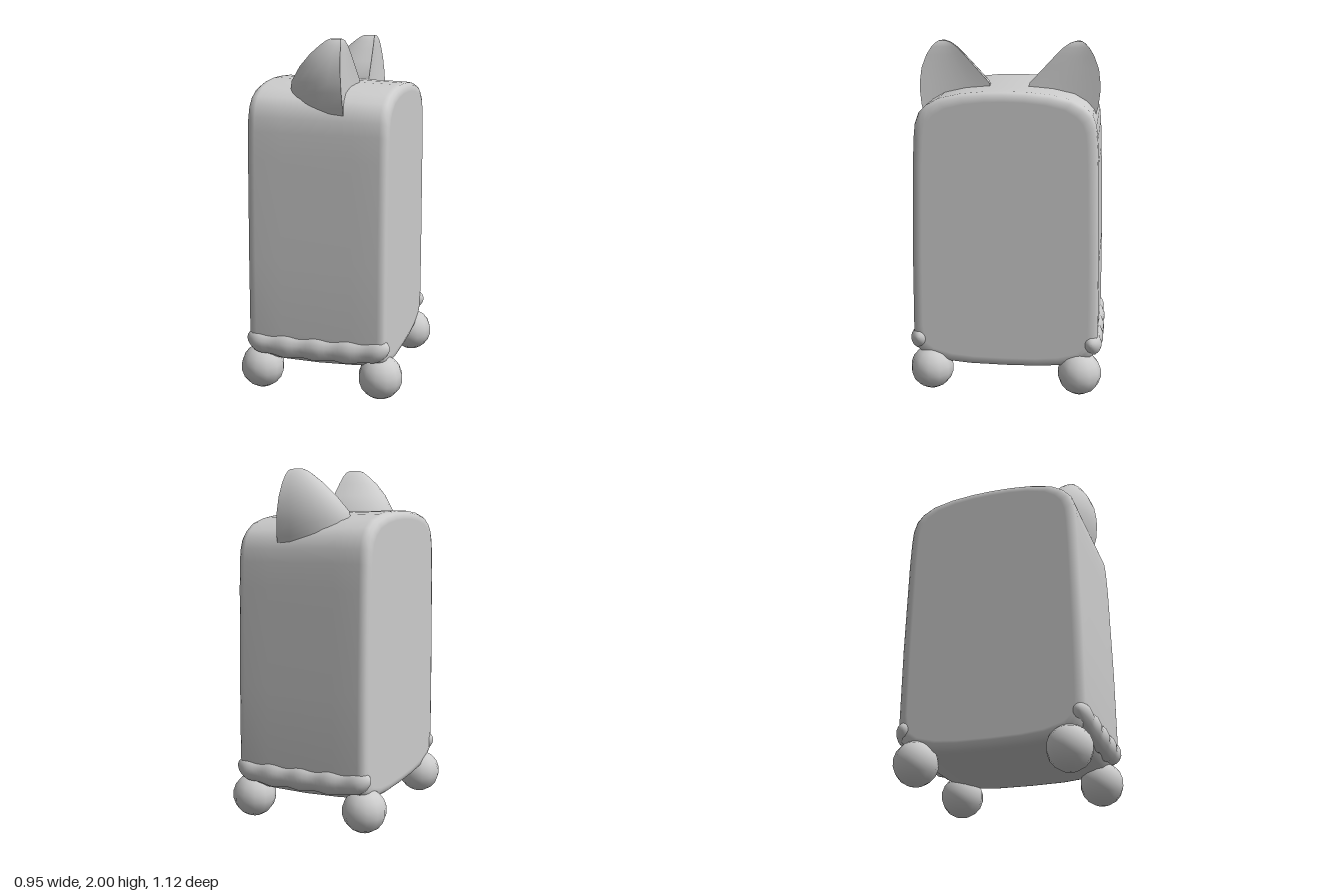
import * as THREE from 'three';
import { toCreasedNormals } from 'three/addons/utils/BufferGeometryUtils.js';

// Skins a list of closed rings of [x, y, z] points and closes both ends
function loft(rings) {
  const n = rings[0].length, m = rings.length;
  const pos = rings.flat(2), index = [];
  for (let i = 0; i < m - 1; i++) {
    for (let j = 0; j < n; j++) {
      const k = (j + 1) % n, a = i * n, b = a + n;
      index.push(a + j, b + j, a + k, b + j, b + k, a + k);
    }
  }
  [0, m - 1].forEach((r) => {
    const c = pos.length / 3;
    for (let d = 0; d < 3; d++) pos.push(rings[r].reduce((s, p) => s + p[d], 0) / n);
    for (let j = 0; j < n; j++) {
      const a = r * n + j, b = r * n + (j + 1) % n;
      if (r) index.push(c, b, a); else index.push(c, a, b);
    }
  });
  const g = new THREE.BufferGeometry();
  g.setAttribute('position', new THREE.Float32BufferAttribute(pos, 3));
  g.setIndex(index);
  g.computeVertexNormals();
  return g;
}

// Rounded box with an arched top, swept across x
function bodyGeometry() {
  const half = [[0.2, 0.148], [0.34, 0.16], [0.46, 0.19], [0.515, 0.25], [0.533, 0.36],
    [0.53, 0.8], [0.517, 1.35], [0.51, 1.5], [0.502, 1.58], [0.48, 1.645], [0.44, 1.69],
    [0.37, 1.73], [0.25, 1.757], [0.12, 1.77]];
  const profile = [[0, 0.145], ...half, [0, 1.773], ...half.map(([z, y]) => [-z, y]).reverse()];
  // x position and inset of each section
  const sections = [[-0.4, 0.06], [-0.4, 0.045], [-0.393, 0.02], [-0.375, 0.005], [-0.35, 0],
    [-0.2, 0], [0, 0], [0.2, 0], [0.35, 0], [0.375, 0.005], [0.39, 0.02], [0.396, 0.045], [0.396, 0.06]];
  return loft(sections.map(([x, inset]) => profile.map(([z, y]) => {
    let h = 0.96 + (y - 0.96) * (1 - inset * 0.85 / 0.8);
    if (y > 1.4) h -= 0.03 * (x + 0.4) / 0.8 * Math.min(1, (y - 1.4) / 0.3);
    if (y < 0.2) h += 0.02 * (x / 0.4) ** 2;
    return [x, h, z * (1 - inset / 0.53)];
  })));
}

// Ear: nearly flat face towards +x, domed behind
function earGeometry(side) {
  // y, inner z, outer z, back x, front x
  const levels = [[1.56, 0.11, 0.48, -0.19, 0.15], [1.64, 0.1, 0.503, -0.2, 0.148],
    [1.72, 0.1, 0.512, -0.2, 0.143], [1.77, 0.115, 0.512, -0.19, 0.14],
    [1.85, 0.19, 0.502, -0.135, 0.133], [1.92, 0.255, 0.475, -0.07, 0.127],
    [1.965, 0.3, 0.447, -0.015, 0.122], [1.99, 0.335, 0.422, 0.02, 0.116],
    [2.0, 0.365, 0.405, 0.045, 0.108]];
  return toCreasedNormals(loft(levels.map(([y, zi, zo, xb, xf]) => {
    const c = side * (zi + zo) / 2, h = (zo - zi) / 2, ring = [];
    for (let i = 0; i < 6; i++) {
      const u = -1 + i / 3;
      ring.push([xf - 0.07 * h * (1 - u * u), y, c + h * u]);
    }
    for (let i = 0; i < 14; i++) {
      const t = Math.PI * i / 14;
      ring.push([xf - (xf - xb) * Math.sin(t), y, c + h * Math.cos(t)]);
    }
    return ring;
  })), 0.8);
}

// Lumpy padded roll running across x
function ruffleGeometry() {
  const rings = [];
  for (let i = 0; i <= 48; i++) {
    const u = -1 + i / 24, x = 0.415 * Math.sin(u * Math.PI / 2);
    const end = Math.max(0.04, Math.pow(1 - Math.pow(Math.abs(x) / 0.4155, 8), 0.5));
    const lump = 1 + 0.08 * Math.cos(x * 35);
    const ring = [];
    for (let j = 0; j < 14; j++) {
      const t = -Math.PI * 2 * j / 14;
      ring.push([x, 0.29 - 0.025 * (x / 0.4) ** 4 + 0.072 * end * lump * Math.cos(t),
        0.062 * end * lump * Math.sin(t)]);
    }
    rings.push(ring);
  }
  return loft(rings).rotateX(Math.PI);
}

export function createModel() {
  const model = new THREE.Group();
  const grey = new THREE.MeshStandardMaterial({ color: 0xcccccc });
  grey.name = 'plain grey';
  const add = (name, geometry, x = 0, y = 0, z = 0) => {
    const mesh = new THREE.Mesh(geometry, grey);
    mesh.name = name;
    mesh.position.set(x, y, z);
    model.add(mesh);
    return mesh;
  };

  add('body', bodyGeometry());

  for (const s of [1, -1]) {
    const end = s > 0 ? 'front' : 'back';
    add(end + 'Ear', earGeometry(s));
    // Lower padding, flipped upright after the sweep
    add(end + 'Ruffle', ruffleGeometry(), 0, 0.58, s * 0.495);
    // Ball feet at the corners
    for (const x of [0.35, -0.35]) {
      add(end + (x > 0 ? 'Left' : 'Right') + 'Foot',
        new THREE.SphereGeometry(0.126, 12, 9), x, 0.13, s * 0.43);
    }
  }
  return model;
}
